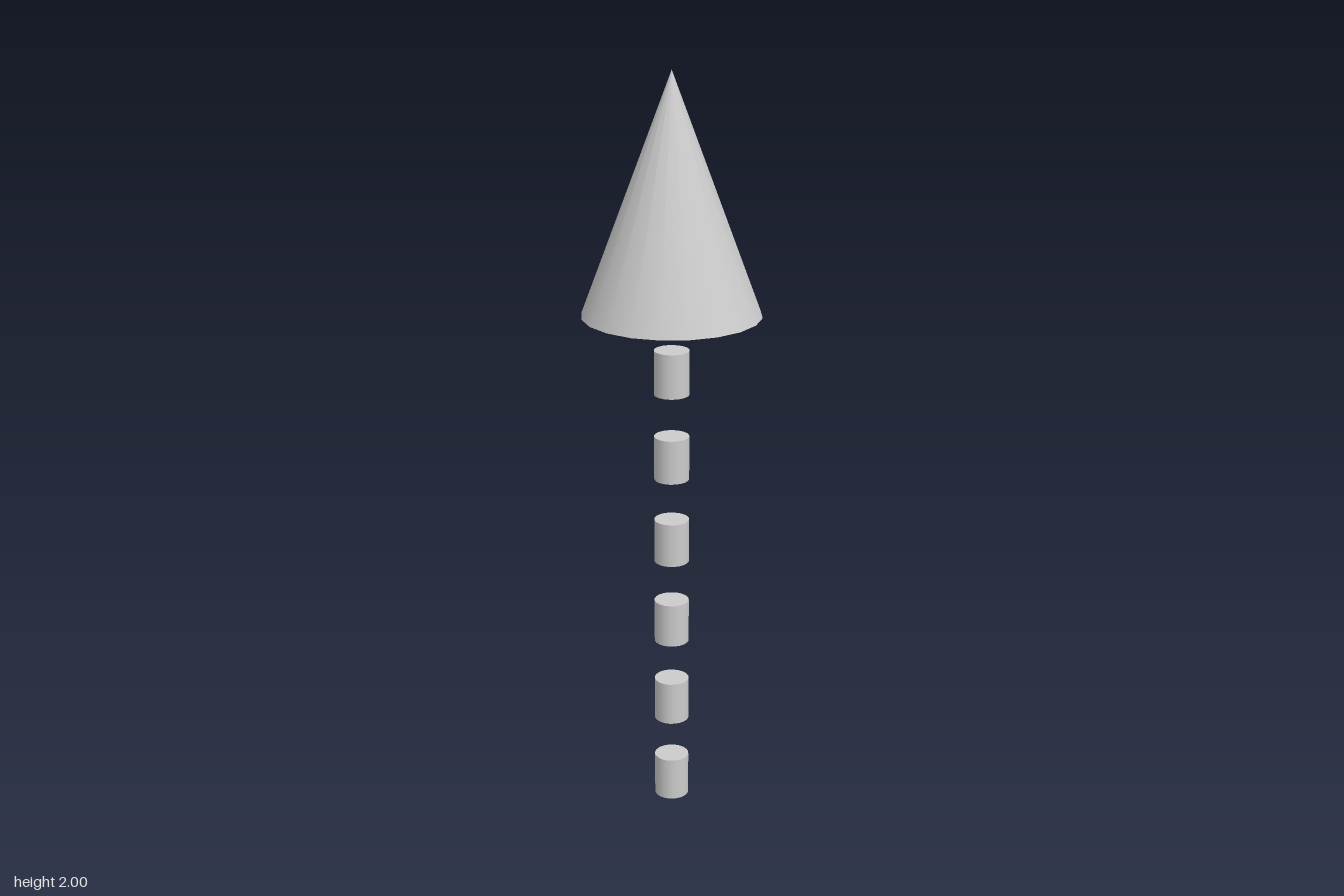
import * as THREE from 'three';

const SIDES = 20;
const DASHES = 6;
const DASH_HEIGHT = 0.119;
const DASH_SPACING = 0.2335;
const CONE_BASE = 1.38;

export function createModel() {
  const model = new THREE.Group();
  model.name = 'dashedArrow';
  const grey = new THREE.MeshStandardMaterial({ color: 0xcccccc });

  // Arrow head
  const coneHeight = 2 - CONE_BASE;
  const head = new THREE.Mesh(new THREE.ConeGeometry(0.233, coneHeight, SIDES), grey);
  head.name = 'arrowHead';
  head.position.y = CONE_BASE + coneHeight / 2;
  model.add(head);

  // Shaft made of evenly spaced short cylinders
  const shaft = new THREE.Group();
  shaft.name = 'dashedShaft';
  const dashGeometry = new THREE.CylinderGeometry(0.0465, 0.0465, DASH_HEIGHT, SIDES);
  for (let i = 0; i < DASHES; i++) {
    const dash = new THREE.Mesh(dashGeometry, grey);
    dash.name = `shaftDash${i + 1}`;
    dash.position.y = DASH_HEIGHT / 2 + i * DASH_SPACING;
    shaft.add(dash);
  }
  model.add(shaft);

  return model;
}
